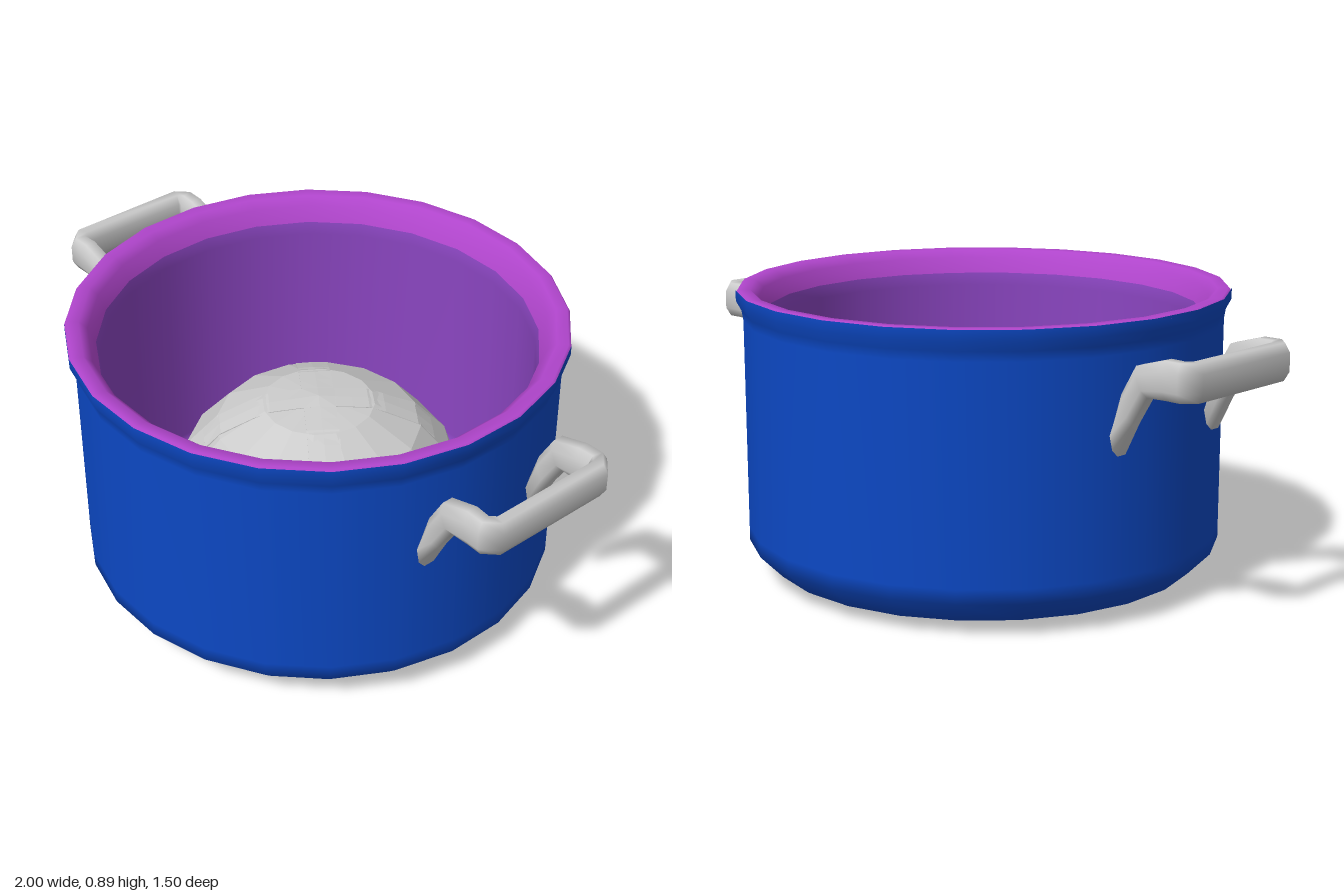
import * as THREE from 'three';

const SIDES = 24;

function mesh(name, geometry, color, extra = {}) {
  const m = new THREE.Mesh(geometry, new THREE.MeshStandardMaterial({ color, ...extra }));
  m.name = name;
  return m;
}

function lathe(points, sides) {
  const g = new THREE.LatheGeometry(points.map(([r, y]) => new THREE.Vector2(r, y)), sides);
  return g.rotateY(sides === SIDES ? Math.PI / SIDES : 0);
}

// Handle: eight-sided rings lofted from one leg, round the grip, to the other leg
function handleGeometry() {
  // inner x, inner z, outer x, outer z, centre y, half-height vector x, y
  const half = [
    [0.725, 0.18, 0.725, 0.25, 0.56, -0.01, 0.04],
    [0.765, 0.18, 0.765, 0.25, 0.66, -0.02, 0.04],
    [0.815, 0.18, 0.815, 0.25, 0.745, -0.02, 0.042],
    [0.895, 0.18, 0.895, 0.25, 0.76, -0.005, 0.055],
    [0.935, 0.185, 0.95, 0.25, 0.76, 0, 0.055],
    [0.94, 0.18, 1.0, 0.2, 0.76, 0, 0.055],
  ];
  const mirrored = half.map(([xi, zi, xo, zo, ...rest]) => [xi, -zi, xo, -zo, ...rest]).reverse();
  const rings = [...half, ...mirrored];
  const section = [[1, -0.5], [1, 0.5], [0.5, 1], [-0.5, 1], [-1, 0.5], [-1, -0.5], [-0.5, -1], [0.5, -1]];
  const n = section.length;
  const pos = [], index = [];
  for (const [xi, zi, xo, zo, y, ux, uy] of rings) {
    for (const [a, b] of section) {
      pos.push((xi + xo) / 2 + a * (xo - xi) / 2 + b * ux, y + b * uy, (zi + zo) / 2 + a * (zo - zi) / 2);
    }
  }
  for (let i = 0; i < rings.length - 1; i++) {
    for (let j = 0; j < n; j++) {
      const p = i * n + j, q = i * n + (j + 1) % n;
      index.push(p, p + n, q, p + n, q + n, q);
    }
  }
  const last = (rings.length - 1) * n;
  for (let j = 1; j < n - 1; j++) {
    index.push(0, j, j + 1, last, last + j + 1, last + j);
  }
  const g = new THREE.BufferGeometry();
  g.setAttribute('position', new THREE.Float32BufferAttribute(pos, 3));
  g.setIndex(index);
  g.computeVertexNormals();
  return g;
}

// Loaf profile from the underside to the crown
const loafProfile = [
  [0, 0], [0.17, 0.007], [0.31, 0.037], [0.425, 0.13], [0.465, 0.25],
  [0.425, 0.37], [0.32, 0.49], [0.175, 0.565], [0, 0.585],
];

function loafHeight(r) {
  for (let i = loafProfile.length - 1; i > 4; i--) {
    const [r0, y0] = loafProfile[i], [r1, y1] = loafProfile[i - 1];
    if (r <= r1) return y0 + (y1 - y0) * (r - r0) / (r1 - r0);
  }
  return 0.25;
}

// Shallow score strip bent over the top of the loaf
function scoreGeometry(angle) {
  const g = new THREE.BoxGeometry(0.72, 0.02, 0.1, 14, 1, 2).rotateY(angle);
  const p = g.attributes.position;
  for (let i = 0; i < p.count; i++) {
    p.setY(i, p.getY(i) + loafHeight(Math.hypot(p.getX(i), p.getZ(i))) - 0.008);
  }
  g.computeVertexNormals();
  return g;
}

export function createModel() {
  const model = new THREE.Group();
  model.name = 'cookingPot';

  // Pot shell, rolled rim and lining
  model.add(mesh('potOuter', lathe([
    [0, 0.035], [0.62, 0.035], [0.668, 0.035], [0.737, 0.105], [0.737, 0.15],
    [0.737, 0.8], [0.742, 0.83], [0.758, 0.86], [0.758, 0.893],
  ], SIDES), 0x0c48c4));
  model.add(mesh('potRim', lathe([
    [0.758, 0.885], [0.75, 0.895], [0.715, 0.893], [0.69, 0.87], [0.668, 0.82],
  ], SIDES), 0xb045cc));
  model.add(mesh('potLining', lathe([
    [0.668, 0.82], [0.66, 0.78], [0.66, 0.09], [0.645, 0.065], [0.6, 0.06], [0, 0.06],
  ], SIDES), 0x8a45c0));

  // Handles on both sides
  for (const [name, turn] of [['leftHandle', 0], ['rightHandle', Math.PI]]) {
    const handle = mesh(name, handleGeometry(), 0xcccccc);
    handle.rotation.y = turn;
    model.add(handle);
  }

  // Round faceted loaf with a scored cross
  const loaf = new THREE.Group();
  loaf.name = 'loaf';
  loaf.add(mesh('loafBody', lathe(loafProfile, 16), 0xcccccc, { flatShading: true }));
  loaf.add(mesh('scoreA', scoreGeometry(-0.62), 0xcccccc, { flatShading: true }));
  loaf.add(mesh('scoreB', scoreGeometry(0.95), 0xcccccc, { flatShading: true }));
  loaf.position.set(-0.01, 0, -0.01);
  model.add(loaf);

  return model;
}
